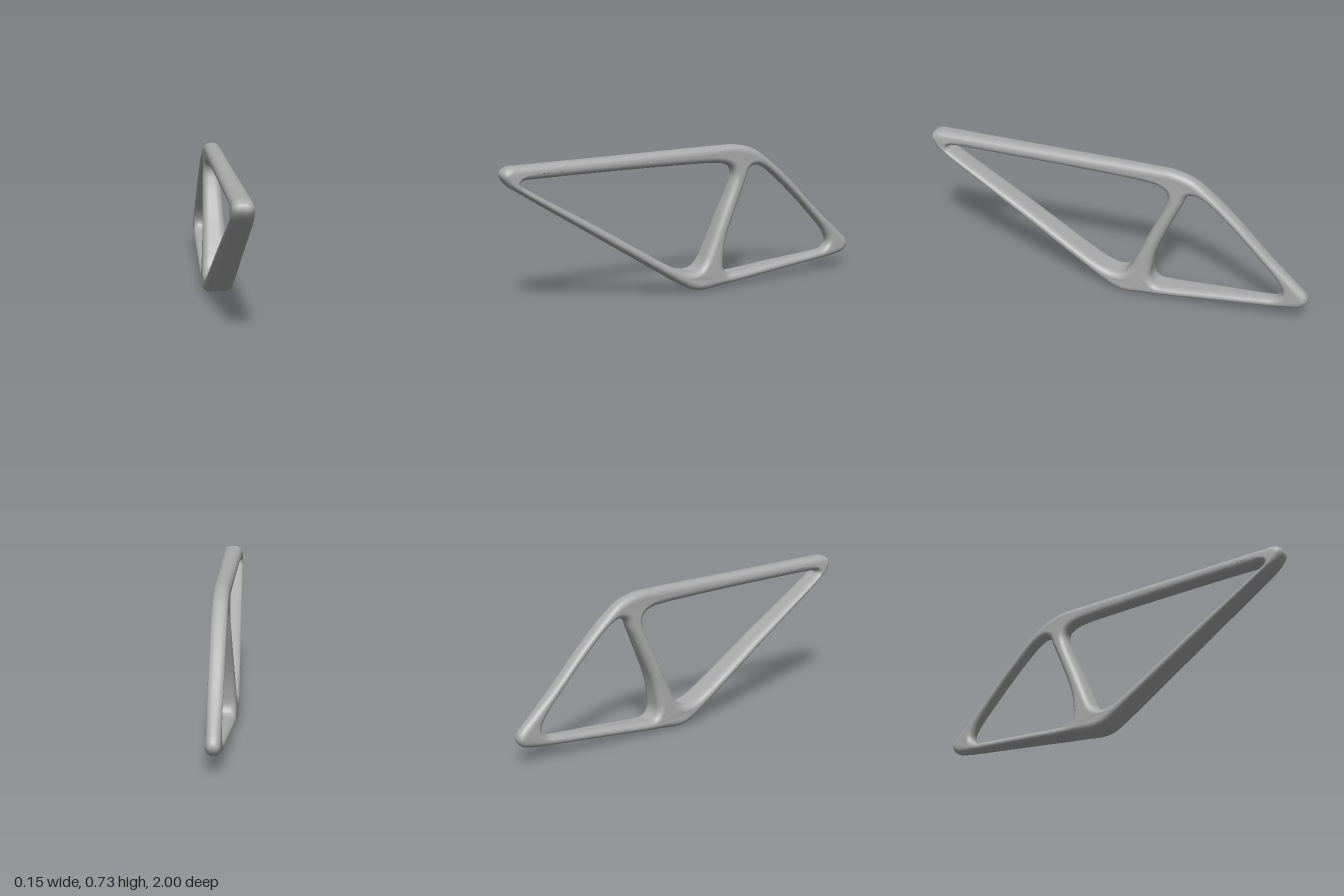
import * as THREE from 'three';

// Side profile as [z, y] loops: the outer edge and the two openings
const OUTER = [
  [1, 0.69], [0.992, 0.715], [0.96, 0.73], [0.9, 0.731], [0.4, 0.731], [-0.2, 0.731], [-0.29, 0.728],
  [-0.395, 0.70], [-0.475, 0.645], [-0.61, 0.527], [-0.795, 0.34], [-0.963, 0.185], [-0.992, 0.155],
  [-1, 0.125], [-0.975, 0.09], [-0.91, 0.074], [-0.84, 0.067], [-0.5, 0.038], [-0.18, 0.01], [-0.07, 0.001],
  [-0.01, 0.012], [0.06, 0.05], [0.12, 0.089], [0.5, 0.335], [0.9, 0.594], [0.97, 0.643],
];
const FRONT_HOLE = [
  [0.912, 0.652], [0.89, 0.661], [0.82, 0.662], [0.46, 0.66], [0, 0.652], [-0.14, 0.647], [-0.21, 0.638],
  [-0.257, 0.615], [-0.27, 0.58], [-0.253, 0.52], [-0.18, 0.36], [-0.11, 0.2], [-0.088, 0.155],
  [-0.055, 0.115], [-0.01, 0.104], [0.045, 0.115], [0.12, 0.152], [0.5, 0.39], [0.84, 0.596], [0.9, 0.636],
];
const REAR_HOLE = [
  [-0.405, 0.614], [-0.37, 0.602], [-0.345, 0.55], [-0.285, 0.42], [-0.222, 0.27], [-0.2, 0.175], [-0.197, 0.104],
  [-0.222, 0.071], [-0.287, 0.068], [-0.5, 0.086], [-0.77, 0.108], [-0.84, 0.118], [-0.869, 0.15],
  [-0.85, 0.205], [-0.74, 0.334], [-0.58, 0.495], [-0.455, 0.598],
];

// Centre line of each tube with its half width at both ends
const TUBES = [
  { a: [0.97, 0.69], b: [-0.33, 0.69], wa: 0.05, wb: 0.04 },     // top tube
  { a: [0.97, 0.67], b: [-0.02, 0.05], wa: 0.054, wb: 0.075 },   // down tube
  { a: [-0.33, 0.66], b: [-0.12, 0.08], wa: 0.04, wb: 0.07 },    // seat tube
  { a: [-0.36, 0.68], b: [-0.95, 0.13], wa: 0.04, wb: 0.035 },   // seat stay
  { a: [-0.06, 0.04], b: [-0.95, 0.11], wa: 0.075, wb: 0.035 },  // chain stay
];

// Half width anywhere on the profile, blended from the nearest tubes
function halfWidth(z, y) {
  let sum = 0, total = 0;
  for (const { a, b, wa, wb } of TUBES) {
    const dz = b[0] - a[0], dy = b[1] - a[1];
    const t = THREE.MathUtils.clamp(((z - a[0]) * dz + (y - a[1]) * dy) / (dz * dz + dy * dy), 0, 1);
    const d = Math.hypot(z - a[0] - t * dz, y - a[1] - t * dy);
    const k = 1 / (d * d + 0.0008) ** 2;
    sum += k * (wa + (wb - wa) * t);
    total += k;
  }
  return sum / total;
}

// Closed smooth loop, counter-clockwise for the outside and clockwise for openings
function makeLoop(points, count, clockwise) {
  const curve = new THREE.CatmullRomCurve3(points.map(([z, y]) => new THREE.Vector3(-z, y, 0)), true, 'centripetal');
  curve.arcLengthDivisions = 1500;
  const loop = curve.getSpacedPoints(count).slice(0, count).map((p) => new THREE.Vector2(p.x, p.y));
  if (THREE.ShapeUtils.isClockWise(loop) !== clockwise) loop.reverse();
  return loop;
}

// One continuous skin: rounded edges on every loop, closed by a face on each side
function frameGeometry() {
  const loops = [makeLoop(OUTER, 380, false), makeLoop(FRONT_HOLE, 260, true), makeLoop(REAR_HOLE, 220, true)];
  const rim = [];
  loops.forEach((loop, l) => {
    const n = loop.length;
    const others = loops.filter((o) => o !== loop).flat();
    // The rounding takes up nearly half of the local tube thickness
    const size = loop.map((p) => {
      let gap = 1;
      for (const q of others) gap = Math.min(gap, p.distanceTo(q));
      return Math.min(0.45 * gap, 0.034);
    });
    loop.forEach((p, i) => {
      const t = loop[(i + 1) % n].clone().sub(loop[(i + n - 1) % n]).normalize();
      let inset = 0;
      for (let k = -4; k <= 4; k++) inset += size[(i + k + n) % n] / 9;
      const w = halfWidth(-p.x, p.y);
      rim.push({ p, inward: new THREE.Vector2(-t.y, t.x), inset, w, round: Math.min(0.038, w * 0.85) });
    });
  });

  const STEPS = 7, total = rim.length, positions = [], index = [];
  const addRing = (k, side) => {
    const phi = (k / STEPS) * Math.PI / 2;
    for (const { p, inward, inset, w, round } of rim) {
      const s = inset * (1 - Math.sin(phi));
      positions.push(side * (w - round * (1 - Math.cos(phi))), p.y + inward.y * s, -(p.x + inward.x * s));
    }
  };
  for (let k = 0; k <= STEPS; k++) addRing(k, 1);
  for (let k = STEPS; k >= 0; k--) addRing(k, -1);
  const rings = 2 * STEPS + 2;

  // Rounded walls
  let start = 0;
  for (const loop of loops) {
    for (let j = 0; j < rings - 1; j++) {
      for (let i = 0; i < loop.length; i++) {
        const a = j * total + start + i, d = j * total + start + (i + 1) % loop.length;
        index.push(a, a + total, d, a + total, d + total, d);
      }
    }
    start += loop.length;
  }

  // Left and right faces
  const flat = rim.map(({ p, inward, inset }) => p.clone().addScaledVector(inward, inset));
  const n0 = loops[0].length, n1 = n0 + loops[1].length;
  const faces = THREE.ShapeUtils.triangulateShape(flat.slice(0, n0), [flat.slice(n0, n1), flat.slice(n1)]);
  const back = (rings - 1) * total;
  for (const [a, b, c] of faces) index.push(a, b, c, back + a, back + c, back + b);

  const geometry = new THREE.BufferGeometry();
  geometry.setAttribute('position', new THREE.Float32BufferAttribute(positions, 3));
  geometry.setIndex(index);
  geometry.computeVertexNormals();
  return geometry;
}

export function createModel() {
  const group = new THREE.Group();
  group.name = 'bicycleFrame';
  const grey = new THREE.MeshStandardMaterial({ color: 0xaaaaaa });
  grey.name = 'grey';
  const frame = new THREE.Mesh(frameGeometry(), grey);
  frame.name = 'frameTubes';
  group.add(frame);
  return group;
}
